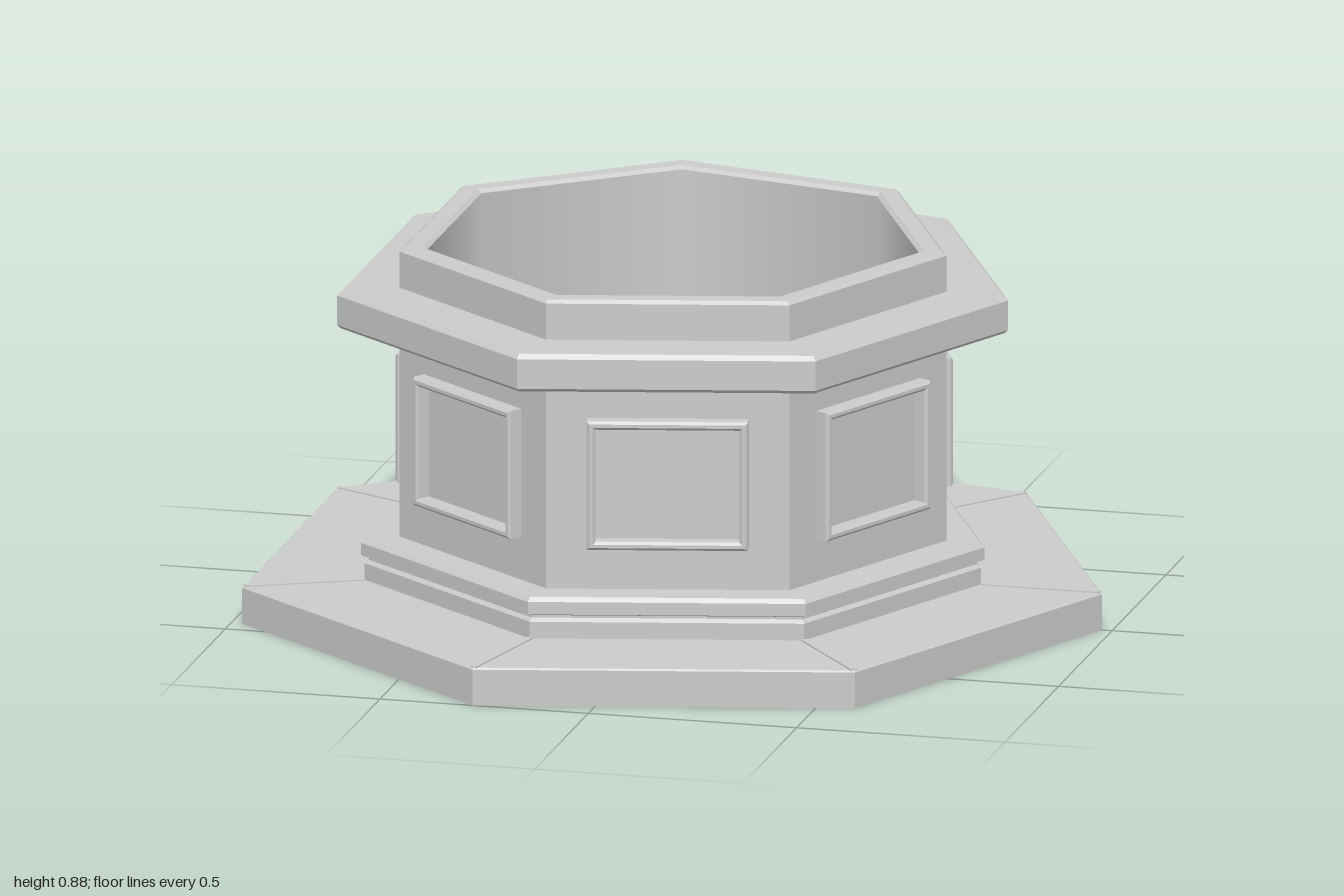
import * as THREE from 'three';

const SIDES = 7;
const STEP = (Math.PI * 2) / SIDES;
const APOTHEM = Math.cos(STEP / 2);
const BODY_R = 0.652;

const flat = new THREE.MeshStandardMaterial({ color: 0xcccccc, flatShading: true, side: THREE.DoubleSide });
const smooth = new THREE.MeshStandardMaterial({ color: 0xcccccc, side: THREE.DoubleSide });

// Seven-sided ring swept from a [radius, y] profile, one corner on +x
function ring(name, profile, material = flat) {
  const points = profile.map(([r, y]) => new THREE.Vector2(r, y));
  const mesh = new THREE.Mesh(new THREE.LatheGeometry(points, SIDES, Math.PI / 2), material);
  mesh.name = name;
  return mesh;
}

function rectangle(target, w, h) {
  target.moveTo(-w / 2, -h / 2);
  target.lineTo(w / 2, -h / 2);
  target.lineTo(w / 2, h / 2);
  target.lineTo(-w / 2, h / 2);
  target.closePath();
  return target;
}

// Raised picture-frame moulding with softened edges
function frameGeometry() {
  const bevel = 0.006;
  const shape = rectangle(new THREE.Shape(), 0.375 - 2 * bevel, 0.31 - 2 * bevel);
  shape.holes.push(rectangle(new THREE.Path(), 0.335 + 2 * bevel, 0.27 + 2 * bevel));
  return new THREE.ExtrudeGeometry(shape, {
    depth: 0.03, bevelEnabled: true, bevelSize: bevel, bevelThickness: bevel, bevelSegments: 1,
  });
}

export function createModel() {
  const model = new THREE.Group();
  model.name = 'heptagonalBasin';
  const body = new THREE.Group();
  body.name = 'basin';
  body.position.x = -0.05; // balances the odd-sided outline about x = 0
  model.add(body);

  // Hollow plinth, open underneath
  body.add(ring('plinth', [[1.0257, 0], [1.0257, 0.086], [1.021, 0.09], [0.73, 0.09]]));

  // Stepped foot moulding
  body.add(ring('footMoulding', [
    [0.735, 0.09], [0.735, 0.13], [0.725, 0.138], [0.725, 0.144], [0.744, 0.15],
    [0.744, 0.18], [0.734, 0.19], [BODY_R, 0.19],
  ]));

  body.add(ring('outerWall', [[BODY_R, 0.19], [BODY_R, 0.7]]));

  // Projecting cornice
  body.add(ring('cornice', [
    [BODY_R, 0.7], [0.792, 0.7], [0.8, 0.708], [0.8, 0.779], [0.789, 0.79], [BODY_R, 0.79],
  ]));

  // Upper rim with chamfered edges
  body.add(ring('rim', [
    [BODY_R, 0.79], [BODY_R, 0.877], [0.642, 0.885], [0.599, 0.885], [0.588, 0.877],
  ]));

  // Bowl lining and floor
  body.add(ring('bowlWall', [[0.588, 0.877], [0.588, 0.08]], smooth));
  body.add(ring('bowlFloor', [[0.588, 0.08], [0, 0.08]]));

  const frame = frameGeometry();
  const seam = new THREE.BoxGeometry(0.285, 0.006, 0.016);
  for (let i = 0; i < SIDES; i++) {
    // Framed panel in the middle of each wall face
    const face = new THREE.Group();
    face.name = 'wallPanel';
    face.rotation.y = Math.PI / 2 + (i + 0.5) * STEP;
    const panel = new THREE.Mesh(frame, flat);
    panel.name = 'panelFrame';
    panel.position.set(0, 0.447, BODY_R * APOTHEM);
    face.add(panel);
    body.add(face);

    // Mitre bead along each plinth corner
    const corner = new THREE.Group();
    corner.name = 'plinthCorner';
    corner.rotation.y = i * STEP;
    const bead = new THREE.Mesh(seam, flat);
    bead.name = 'mitreBead';
    bead.position.set(0.877, 0.09, 0);
    corner.add(bead);
    body.add(corner);
  }
  return model;
}
